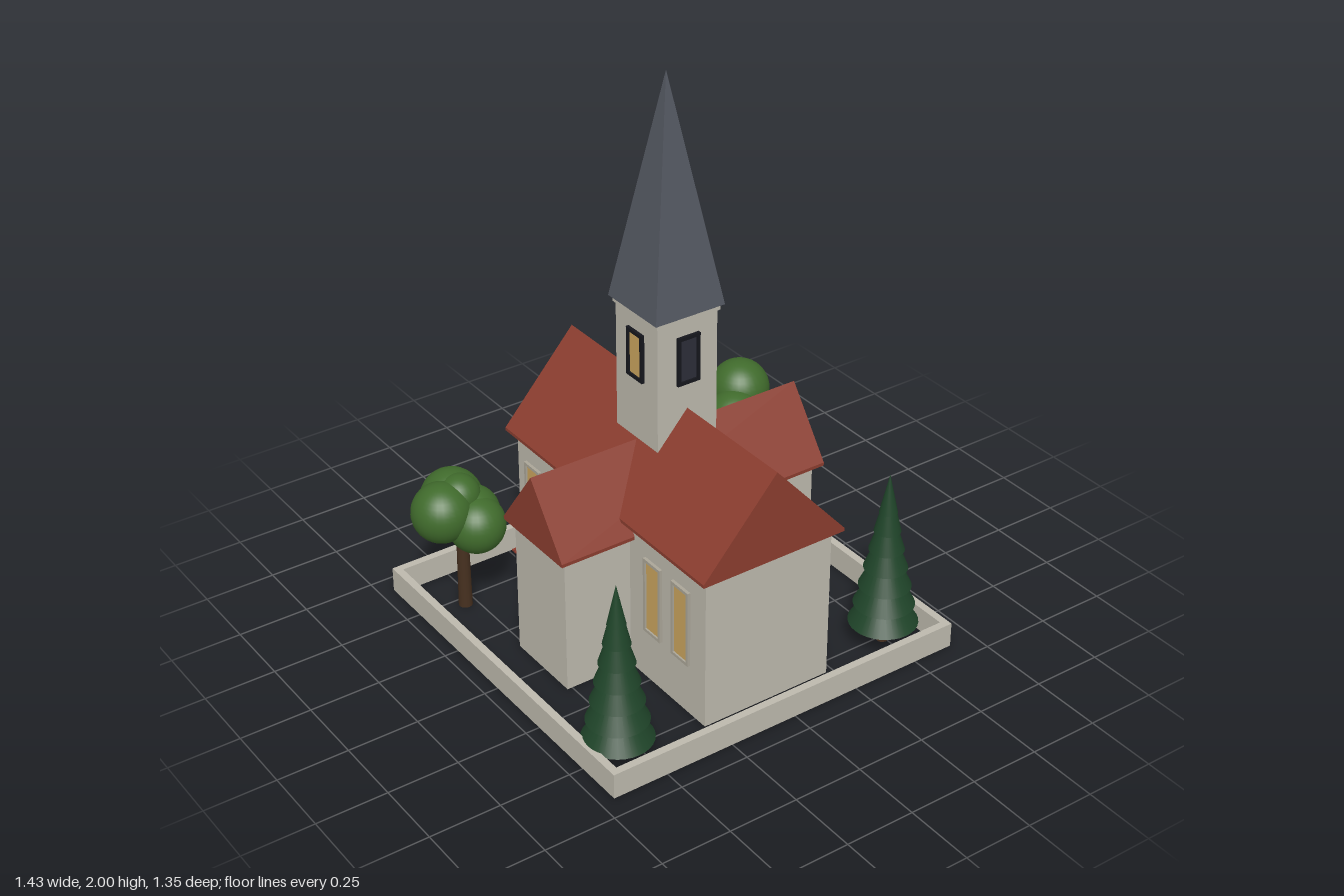
import * as THREE from 'three';

const mat = (name, color) => {
  const m = new THREE.MeshStandardMaterial({ color });
  m.name = name;
  return m;
};

export function createModel() {
  const M = {
    stone: mat('stone', 0xbdb9ad),
    trim: mat('window trim', 0xaba698),
    roof: mat('roof tile', 0x8b3d2f),
    slate: mat('spire slate', 0x535760),
    glass: mat('amber glass', 0xcaa55e),
    louvre: mat('dark louvre', 0x2c2d38),
    iron: mat('black iron', 0x15161c),
    leaf: mat('leaf green', 0x406b2c),
    fir: mat('fir green', 0x1f4429),
    wood: mat('brown wood', 0x46301f),
  };
  const root = new THREE.Group();
  root.name = 'churchyard';
  const CX = -0.022, CZ = -0.008; // centre of the church crossing

  const group = (name, parent = root) => {
    const g = new THREE.Group();
    g.name = name;
    parent.add(g);
    return g;
  };
  const add = (name, geo, m, parent, x = 0, y = 0, z = 0) => {
    const mesh = new THREE.Mesh(geo, m);
    mesh.name = name;
    mesh.position.set(x, y, z);
    parent.add(mesh);
    return mesh;
  };
  // Box from its minimum and maximum corners
  const box = (name, m, parent, x0, x1, y0, y1, z0, z1) =>
    add(name, new THREE.BoxGeometry(x1 - x0, y1 - y0, z1 - z0), m, parent,
      (x0 + x1) / 2, (y0 + y1) / 2, (z0 + z1) / 2);
  // Thin rod between two points
  const rod = (name, m, parent, a, b, r) => {
    const p = new THREE.Vector3(...a), q = new THREE.Vector3(...b);
    const mesh = add(name, new THREE.CylinderGeometry(r, r, p.distanceTo(q), 8), m, parent);
    mesh.position.copy(p).add(q).multiplyScalar(0.5);
    mesh.quaternion.setFromUnitVectors(new THREE.Vector3(0, 1, 0), q.sub(p).normalize());
    return mesh;
  };

  // Walls
  const church = group('church');
  box('naveWalls', M.stone, church, -0.268, 0.224, 0, 0.565, -0.533, 0.55);
  box('transeptWalls', M.stone, church, -0.518, 0.473, 0, 0.51, -0.154, 0.136);
  box('towerWalls', M.stone, church, CX - 0.115, CX + 0.115, 0.5, 1.2, CZ - 0.115, CZ + 0.115);
  box('towerCornice', M.stone, church, CX - 0.122, CX + 0.122, 1.2, 1.222, CZ - 0.122, CZ + 0.122);

  // Solid gable roofs with a thin eave edge
  const gable = (name, half, eave, ridge, length) => {
    const s = new THREE.Shape([[-half, eave], [half, eave], [half, eave + 0.012], [0, ridge], [-half, eave + 0.012]]
      .map(p => new THREE.Vector2(...p)));
    const g = new THREE.ExtrudeGeometry(s, { depth: length, bevelEnabled: false });
    g.translate(0, 0, -length / 2);
    return add(name, g, M.roof, church);
  };
  gable('naveRoof', 0.275, 0.56, 0.88, 1.14).position.set(CX, 0, 0.008);
  const cross = gable('transeptRoof', 0.172, 0.502, 0.748, 1.045);
  cross.position.set(CX, 0, CZ);
  cross.rotation.y = Math.PI / 2;

  // Spire: four flat sides
  const spireGeo = new THREE.ConeGeometry(0.132 * Math.SQRT2, 0.78, 4).rotateY(Math.PI / 4).toNonIndexed();
  spireGeo.computeVertexNormals();
  add('spire', spireGeo, M.slate, church, CX, 1.61, CZ);

  // Framed opening, built facing +z, then turned into place
  const framed = (name, w, h, t, frameMat, paneMat, x, y, z, turn, mullion = false) => {
    const g = group(name, church);
    g.position.set(x, y, z);
    g.rotation.y = turn;
    const a = w / 2, b = h / 2, d = 0.011;
    box('pane', paneMat, g, -a + t, a - t, -b + t, b - t, -0.002, 0.005);
    for (const s of [-1, 1]) {
      add('frameSide', new THREE.BoxGeometry(t, h, d), frameMat, g, s * (a - t / 2), 0, d / 2);
      add('frameRail', new THREE.BoxGeometry(w - 2 * t, t, d), frameMat, g, 0, s * (b - t / 2), d / 2);
    }
    if (mullion) add('mullion', new THREE.BoxGeometry(t * 0.6, h - 2 * t, 0.008), frameMat, g, 0, 0, 0.004);
  };
  const Q = Math.PI / 2;
  for (const z of [-0.435, -0.283, 0.27, 0.423]) {
    framed('naveWindow', 0.092, 0.28, 0.011, M.trim, M.glass, 0.224, 0.33, z, Q);
    framed('naveWindow', 0.092, 0.28, 0.011, M.trim, M.glass, -0.268, 0.33, z, -Q);
  }
  for (const x of [-0.393, 0.349])
    framed('transeptWindow', 0.092, 0.25, 0.011, M.trim, M.glass, x, 0.295, -0.154, Math.PI);
  framed('gableWindow', 0.135, 0.225, 0.011, M.trim, M.glass, CX, 0.425, -0.533, Math.PI, true);
  framed('door', 0.19, 0.265, 0.01, M.iron, M.stone, CX, 0.152, -0.533, Math.PI);
  add('doorKnob', new THREE.SphereGeometry(0.006, 10, 8), M.iron, church, CX - 0.06, 0.14, -0.542);

  // Belfry openings on the four tower sides
  for (let i = 0; i < 4; i++) {
    const a = i * Q;
    framed('belfryOpening', 0.086, 0.172, 0.012, M.iron, i < 2 ? M.louvre : M.glass,
      CX + Math.sin(a) * 0.115, 1.06, CZ + Math.cos(a) * 0.115, a);
  }

  // Yard wall with a gate gap at the back, and the doorstep
  const wall = group('yardWall');
  const T = 0.027, H = 0.09, X0 = -0.7, X1 = 0.652, Z0 = -0.678, Z1 = 0.674;
  box('wallFront', M.stone, wall, X0, X1, 0, H, Z1 - T, Z1);
  box('wallRight', M.stone, wall, X0, X0 + T, 0, H, Z0, Z1 - T);
  box('wallLeft', M.stone, wall, X1 - T, X1, 0, H, Z0, Z1 - T);
  box('wallBack', M.stone, wall, X0 + T, -0.138, 0, H, Z0, Z0 + T);
  box('wallBack', M.stone, wall, 0.092, X1 - T, 0, H, Z0, Z0 + T);
  box('doorstep', M.stone, root, -0.118, 0.072, 0, 0.022, -0.68, -0.533);

  // Slatted benches either side of the door
  for (const x of [-0.195, 0.15]) {
    const b = group('bench');
    b.position.set(x, 0, 0);
    for (let i = 0; i < 3; i++) {
      const z = -0.592 + i * 0.015;
      box('seatSlat', M.roof, b, -0.075, 0.075, 0.04, 0.046, z - 0.005, z + 0.005);
    }
    for (let i = 0; i < 2; i++)
      box('backSlat', M.roof, b, -0.075, 0.075, 0.054 + i * 0.016, 0.064 + i * 0.016, -0.552, -0.546);
    for (const s of [-0.06, 0.06]) {
      box('seatLeg', M.iron, b, s - 0.004, s + 0.004, 0, 0.04, -0.594, -0.586);
      box('backLeg', M.iron, b, s - 0.004, s + 0.004, 0, 0.078, -0.546, -0.539);
      box('seatRail', M.iron, b, s - 0.004, s + 0.004, 0.034, 0.04, -0.594, -0.539);
    }
  }

  // Firs: stacked cones on a short trunk
  for (const x of [-0.575, 0.492]) {
    const t = group('firTree');
    t.position.set(x, 0, 0.512);
    add('firTrunk', new THREE.CylinderGeometry(0.018, 0.02, 0.1, 12), M.wood, t, 0, 0.05, 0);
    for (let i = 0; i < 7; i++) {
      const y0 = 0.08 + i * 0.071, y1 = Math.min(y0 + 0.19, 0.65);
      add('firTier', new THREE.ConeGeometry(0.118 - i * 0.0145, y1 - y0, 32), M.fir, t, 0, (y0 + y1) / 2, 0);
    }
  }

  // Broadleaf trees: [x, y, z, radius] for each leaf ball
  const broadleaf = (x, z, balls) => {
    const t = group('broadleafTree');
    add('trunk', new THREE.CylinderGeometry(0.02, 0.024, 0.34, 12), M.wood, t, x, 0.17, z);
    for (const [bx, by, bz, r] of balls)
      add('leafBall', new THREE.SphereGeometry(r, 28, 20), M.leaf, t, bx, by, bz);
  };
  broadleaf(0.52, -0.437, [[0.605, 0.478, -0.447, 0.107], [0.5, 0.405, -0.518, 0.108],
    [0.527, 0.415, -0.373, 0.104], [0.5, 0.345, -0.44, 0.105], [0.55, 0.35, -0.435, 0.105]]);
  broadleaf(-0.54, -0.465, [[-0.612, 0.4, -0.467, 0.105], [-0.542, 0.4, -0.522, 0.108],
    [-0.513, 0.345, -0.412, 0.1], [-0.505, 0.36, -0.46, 0.1], [-0.54, 0.435, -0.477, 0.076]]);

  // Bicycle leaning on the left transept wall
  const bike = group('bicycle');
  bike.position.set(0.492, 0, -0.012);
  const R = 0.034, hub = 0.053, rear = [0, R, hub], front = [0, R, -hub];
  for (const c of [rear, front]) {
    const w = add('wheel', new THREE.TorusGeometry(R - 0.003, 0.003, 8, 28), M.iron, bike, ...c);
    w.rotation.y = Q;
    for (let i = 0; i < 4; i++) {
      const a = i * Math.PI / 4, dy = Math.cos(a) * 0.03, dz = Math.sin(a) * 0.03;
      rod('spoke', M.iron, bike, [0, R - dy, c[2] - dz], [0, R + dy, c[2] + dz], 0.0006);
    }
  }
  const crank = [0, 0.032, 0.006], seat = [0, 0.088, 0.026], head = [0, 0.086, -0.033];
  for (const [a, b] of [[rear, crank], [rear, seat], [crank, seat], [crank, head], [seat, head], [front, head]])
    rod('frameTube', M.iron, bike, a, b, 0.0025);
  rod('handlebarStem', M.iron, bike, head, [0, 0.105, -0.027], 0.0025);
  rod('handlebar', M.iron, bike, [-0.014, 0.105, -0.027], [0.014, 0.105, -0.027], 0.0025);
  box('saddle', M.iron, bike, -0.005, 0.005, 0.088, 0.094, 0.016, 0.04);

  return root;
}
